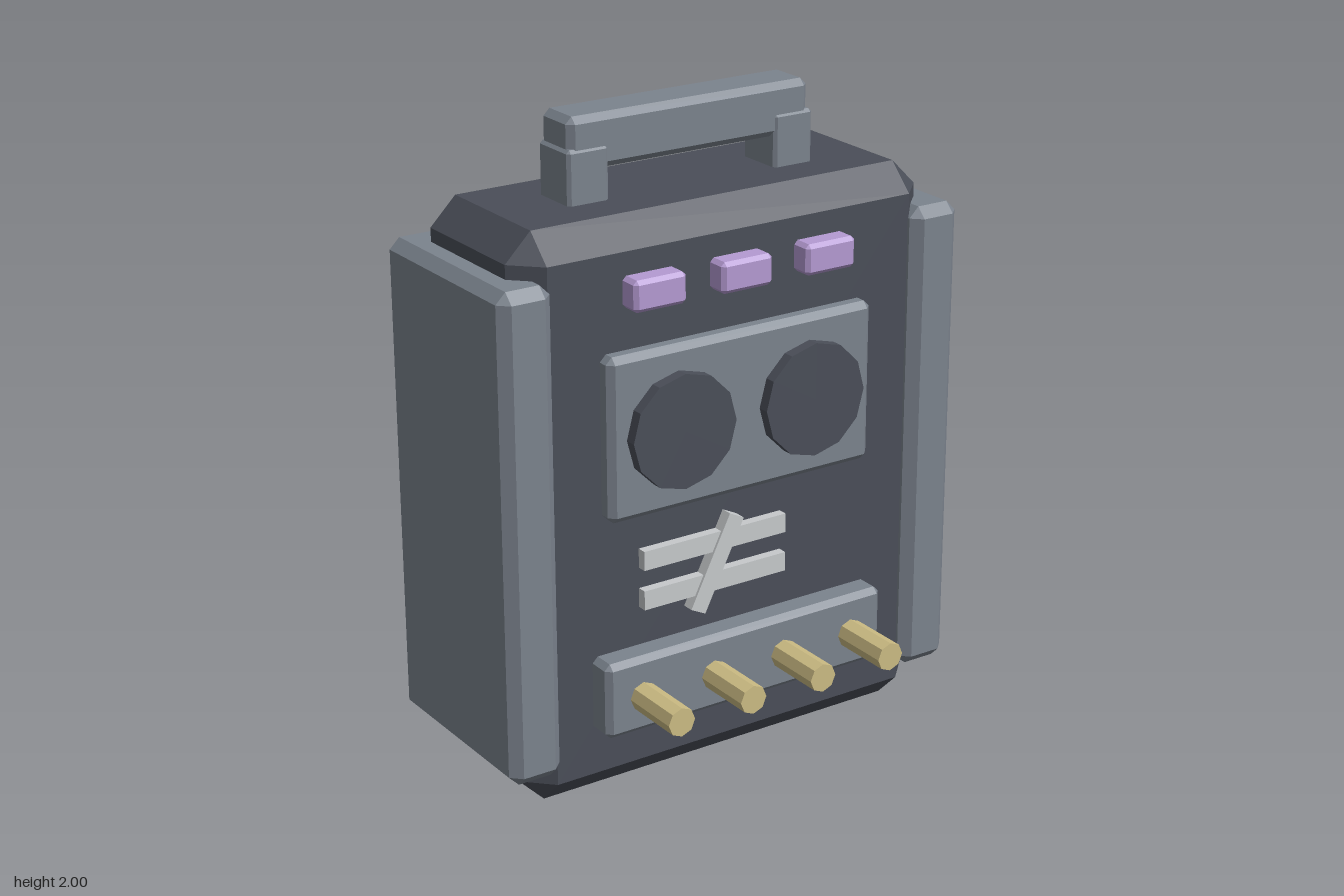
import * as THREE from 'three';
import { ConvexGeometry } from 'three/addons/geometries/ConvexGeometry.js';

const material = (name, color) => {
  const m = new THREE.MeshStandardMaterial({ color });
  m.name = name;
  return m;
};

// Box between two corners with every edge cut by a single flat bevel
function bevelBox([x0, y0, z0], [x1, y1, z1], b) {
  const points = [];
  for (const [x, i] of [[x0, b], [x1, -b]])
    for (const [y, j] of [[y0, b], [y1, -b]])
      for (const [z, k] of [[z0, b], [z1, -b]])
        points.push(
          new THREE.Vector3(x, y + j, z + k),
          new THREE.Vector3(x + i, y, z + k),
          new THREE.Vector3(x + i, y + j, z)
        );
  return new ConvexGeometry(points);
}

// Faceted disc or rod along z
function rod(radius, z0, z1, sides) {
  return new THREE.CylinderGeometry(radius, radius, z1 - z0, sides)
    .rotateX(Math.PI / 2)
    .translate(0, 0, (z0 + z1) / 2)
    .toNonIndexed();
}

export function createModel() {
  const model = new THREE.Group();
  model.name = 'amplifierPack';
  const dark = material('darkGrey', 0x4a4e58);
  const grey = material('steelGrey', 0x7b838d);
  const purple = material('lilac', 0xb49ad2);
  const gold = material('brass', 0xcbbb83);
  const pale = material('paleGrey', 0xc6c9cb);

  const add = (name, geometry, mat, x = 0, y = 0, z = 0) => {
    geometry.computeVertexNormals();
    const mesh = new THREE.Mesh(geometry, mat);
    mesh.name = name;
    mesh.position.set(x, y, z);
    model.add(mesh);
    return mesh;
  };

  // Main case
  add('case', bevelBox([-0.705, 0, -0.41], [0.705, 1.75, 0.17], 0.083), dark);

  // Side panels and handle legs, mirrored
  for (const s of [-1, 1]) {
    const side = s < 0 ? 'right' : 'left';
    add(side + 'Panel', bevelBox([-0.085, 0.13, -0.45], [0.085, 1.625, 0.21], 0.032), grey, s * 0.705);
    add(side + 'HandleLeg', bevelBox([-0.068, 1.7, -0.2], [0.068, 1.91, -0.04], 0.01), grey, s * 0.353);
  }
  add('handleBar', bevelBox([-0.412, 1.84, -0.203], [0.412, 2, -0.046], 0.02), grey);

  // Three indicator buttons
  for (const x of [-0.293, 0, 0.293])
    add('button', bevelBox([-0.087, 1.503, 0.13], [0.087, 1.597, 0.236], 0.012), purple, x);

  // Speaker plate with two speakers
  add('speakerPlate', bevelBox([-0.458, 0.88, 0.1], [0.458, 1.38, 0.22], 0.02), grey);
  for (const x of [-0.228, 0.228])
    add('speaker', rod(0.175, 0.18, 0.256, 12), dark, x, 1.13);

  // Trim bars with a slanted crossbar
  for (const y of [0.735, 0.61])
    add('trimBar', new THREE.BoxGeometry(0.5, 0.06, 0.05), pale, -0.085, y, 0.175);
  add('slantedBar', new THREE.BoxGeometry(0.055, 0.307, 0.06), pale, -0.085, 0.668, 0.178)
    .rotation.z = -0.46;

  // Connector plate with four pins
  add('connectorPlate', bevelBox([-0.497, 0.222, 0.1], [0.493, 0.46, 0.252], 0.018), grey);
  for (let i = 0; i < 4; i++)
    add('pin', rod(0.045, 0.2, 0.452, 8), gold, -0.375 + i * 0.25, 0.337);

  return model;
}
